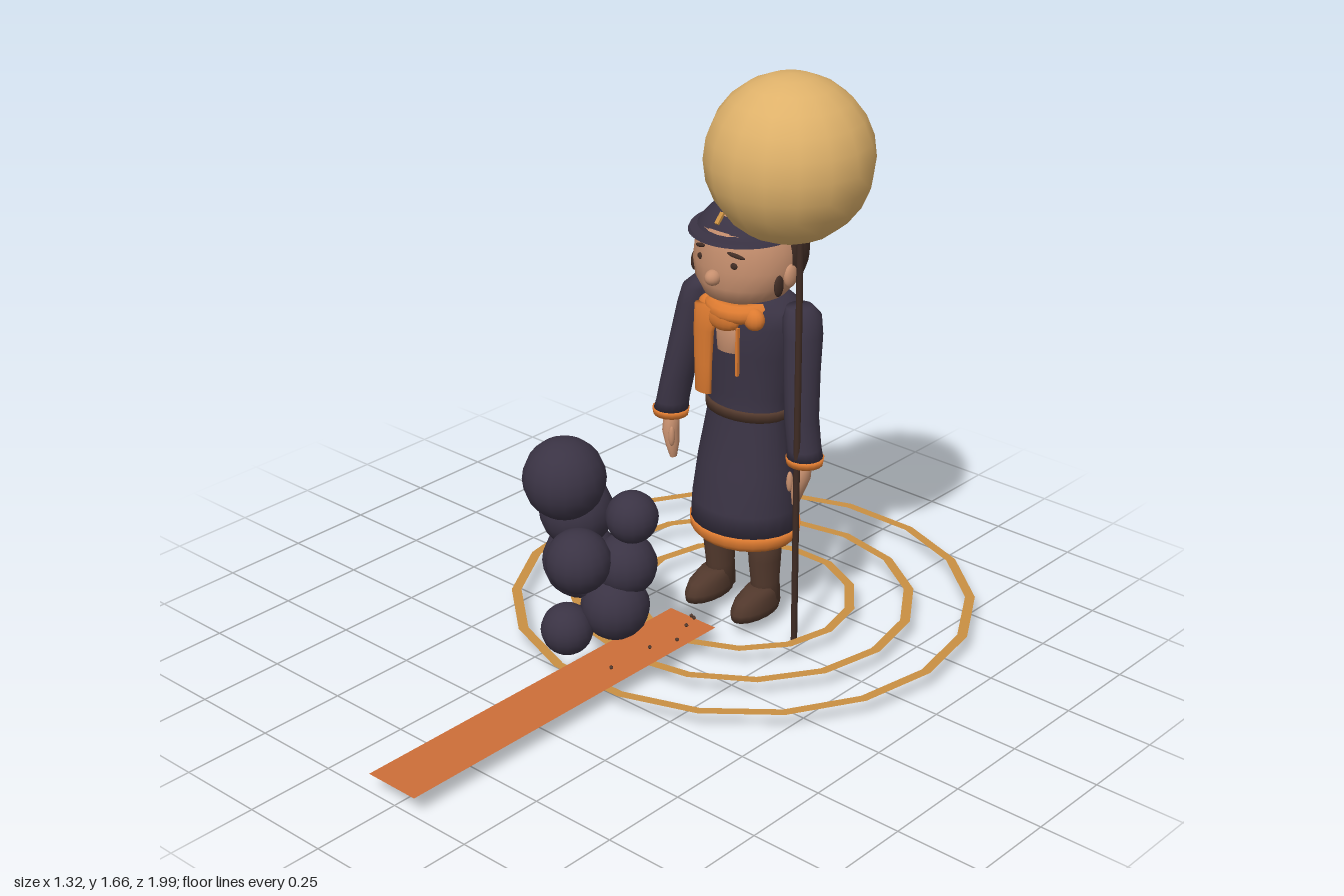
import * as THREE from 'three';

const mat = (name, color, side = THREE.FrontSide) => {
  const m = new THREE.MeshStandardMaterial({ color, side });
  m.name = name;
  return m;
};

// Smooth skin over stacked ellipses, rows run upward: [y, centreX, centreZ, radiusX, radiusZ]
function loft(rows, seg = 20) {
  const pos = [], idx = [];
  const [first, last] = [rows[0], rows[rows.length - 1]];
  const all = [[first[0], first[1], first[2], 0, 0], ...rows, [last[0], last[1], last[2], 0, 0]];
  all.forEach(([y, cx, cz, rx, rz], i) => {
    for (let j = 0; j < seg; j++) {
      const a = (j / seg) * Math.PI * 2;
      pos.push(cx + rx * Math.cos(a), y, cz + rz * Math.sin(a));
      if (i === all.length - 1) continue;
      const p = i * seg + j, q = i * seg + (j + 1) % seg;
      idx.push(p, p + seg, q, q, p + seg, q + seg);
    }
  });
  const g = new THREE.BufferGeometry();
  g.setAttribute('position', new THREE.Float32BufferAttribute(pos, 3));
  g.setIndex(idx);
  g.computeVertexNormals();
  return g;
}

export function createModel() {
  const root = new THREE.Group();
  root.name = 'lanternFigure';
  const cloth = mat('darkCloth', 0x3a3344);
  const skin = mat('skin', 0xc68f6e);
  const orange = mat('scarfOrange', 0xdc7a30, THREE.DoubleSide);
  const path = mat('pathOrange', 0xcc6e38, THREE.DoubleSide);
  const gold = mat('ringGold', 0xc98f42, THREE.DoubleSide);
  const globe = mat('globeYellow', 0xdeb16a);
  const leather = mat('leatherBrown', 0x51382c);
  const hairMat = mat('hairBrown', 0x412d25, THREE.DoubleSide);

  const add = (name, geo, material, x = 0, y = 0, z = 0, parent = root) => {
    const m = new THREE.Mesh(geo, material);
    m.name = name;
    m.position.set(x, y, z);
    parent.add(m);
    return m;
  };
  const ball = (name, material, x, y, z, rx, ry = rx, rz = rx, parent = root) => {
    const m = add(name, new THREE.SphereGeometry(1, 16, 12), material, x, y, z, parent);
    m.scale.set(rx, ry, rz);
    return m;
  };

  // Flat ground rings and path
  [0.325, 0.49, 0.66].forEach((r, i) => {
    add('groundRing' + (i + 1), new THREE.RingGeometry(r - 0.028, r, 14 + i * 2), gold, 0, 0.05, -0.34)
      .rotation.x = -Math.PI / 2;
  });
  add('path', new THREE.PlaneGeometry(0.165, 1.135), path, -0.008, 0.053, 0.4325).rotation.x = -Math.PI / 2;

  // Little pebbles over the path
  [[0.02, 0.065, 0.23], [0.065, 0.1, 0.125], [0.07, 0.08, 0.02], [0.06, 0.1, -0.03], [0.03, 0.095, -0.085], [0, 0.058, -0.13]]
    .forEach(([x, y, z]) => add('pebble', new THREE.OctahedronGeometry(0.007), leather, x, y, z));

  // Globe on a slightly leaning pole
  ball('globe', globe, 0.23, 1.44, -0.225, 0.222);
  const a = new THREE.Vector3(0.225, 0, -0.297), b = new THREE.Vector3(0.27, 1.26, -0.225);
  const pole = add('pole', new THREE.CylinderGeometry(0.009, 0.009, a.distanceTo(b), 8), hairMat);
  pole.position.copy(a).lerp(b, 0.5);
  pole.quaternion.setFromUnitVectors(new THREE.Vector3(0, 1, 0), b.clone().sub(a).normalize());

  // Smoke cluster
  const smoke = new THREE.Group();
  smoke.name = 'smokeCluster';
  root.add(smoke);
  [[-0.05, 0.645, 0.325, 0.11], [-0.1, 0.5, 0.23, 0.1], [0.09, 0.54, 0.22, 0.07], [0.02, 0.437, 0.35, 0.087],
    [-0.115, 0.335, 0.2, 0.105], [0.07, 0.29, 0.265, 0.092], [-0.005, 0.235, 0.37, 0.07], [0.0, 0.37, 0.27, 0.08],
    [0.075, 0.4, 0.23, 0.085]]
    .forEach(([x, y, z, r]) => ball('smokePuff', cloth, x, y, z, r, r, r, smoke));

  // Coat with hem and belt
  add('coat', loft([
    [0.285, 0, -0.345, 0.161, 0.142], [0.36, 0, -0.345, 0.158, 0.137], [0.48, 0, -0.346, 0.145, 0.118],
    [0.62, 0, -0.35, 0.124, 0.092], [0.7, 0, -0.355, 0.128, 0.095], [0.82, 0, -0.362, 0.145, 0.11],
    [0.91, 0, -0.362, 0.165, 0.112], [0.96, 0, -0.362, 0.16, 0.098], [0.985, 0, -0.36, 0.11, 0.08]], 24), cloth);
  add('coatHem', loft([[0.253, 0, -0.345, 0.148, 0.128], [0.27, 0, -0.345, 0.162, 0.142],
    [0.298, 0, -0.345, 0.164, 0.145]], 24), orange);
  add('belt', loft([[0.632, 0, -0.35, 0.129, 0.098], [0.66, 0, -0.352, 0.131, 0.1]], 24), leather);
  add('shirtFront', loft([[0.83, 0, -0.262, 0.035, 0.016], [0.9, 0, -0.262, 0.04, 0.022]]), skin);

  for (const s of [-1, 1]) {
    // Sleeves, cuffs and hands
    add('sleeve', loft([
      [0.57, s * 0.242, -0.303, 0.05, 0.05], [0.6, s * 0.237, -0.305, 0.045, 0.049],
      [0.68, s * 0.222, -0.31, 0.043, 0.052], [0.8, s * 0.203, -0.33, 0.046, 0.056],
      [0.9, s * 0.188, -0.35, 0.048, 0.062], [0.95, s * 0.178, -0.357, 0.047, 0.06],
      [0.975, s * 0.165, -0.36, 0.034, 0.04]], 16), cloth);
    add('cuff', loft([[0.555, s * 0.242, -0.303, 0.05, 0.049], [0.575, s * 0.242, -0.303, 0.053, 0.053]], 16), orange);
    add('hand', loft([[0.43, s * 0.222, -0.292, 0.008, 0.012], [0.47, s * 0.228, -0.294, 0.016, 0.024],
      [0.51, s * 0.238, -0.298, 0.021, 0.029], [0.56, s * 0.24, -0.303, 0.022, 0.024]], 12), skin);
    ball('thumb', skin, s * 0.214, 0.5, -0.275, 0.009, 0.03, 0.01);

    // Boots
    add('bootShaft', loft([[0.06, s * 0.083, -0.34, 0.042, 0.046], [0.13, s * 0.083, -0.338, 0.039, 0.044],
      [0.2, s * 0.083, -0.335, 0.044, 0.05], [0.29, s * 0.083, -0.335, 0.047, 0.052]], 14), leather);
    add('bootFoot', loft([[0.042, s * 0.085, -0.295, 0.044, 0.09], [0.065, s * 0.085, -0.295, 0.048, 0.094],
      [0.095, s * 0.085, -0.3, 0.043, 0.082], [0.118, s * 0.085, -0.318, 0.034, 0.055]], 16), leather);
  }

  // Head and face
  add('neck', new THREE.CylinderGeometry(0.065, 0.075, 0.1, 16), skin, 0, 0.97, -0.345);
  add('head', loft([
    [0.972, 0, -0.335, 0.07, 0.08], [0.99, 0, -0.335, 0.11, 0.118], [1.03, 0, -0.34, 0.143, 0.138],
    [1.08, 0, -0.345, 0.155, 0.146], [1.13, 0, -0.35, 0.151, 0.147], [1.18, 0, -0.352, 0.136, 0.138],
    [1.22, 0, -0.355, 0.1, 0.105], [1.24, 0, -0.355, 0.05, 0.05]], 24), skin);
  ball('nose', skin, 0, 1.06, -0.198, 0.022, 0.022, 0.025);
  for (const s of [-1, 1]) {
    ball('ear', skin, s * 0.152, 1.065, -0.335, 0.014, 0.033, 0.024);
    ball('sideburn', hairMat, s * 0.146, 1.045, -0.295, 0.008, 0.03, 0.018);
    ball('eye', hairMat, s * 0.056, 1.102, -0.215, 0.013, 0.01, 0.006);
    const brow = ball('brow', hairMat, s * 0.062, 1.131, -0.218, 0.026, 0.006, 0.007);
    brow.rotation.set(0, s * 0.4, -s * 0.25);
  }

  // Hair round the back, cap, visor and badge
  const shell = (name, m, y, z, r, args) => {
    const mesh = add(name, new THREE.SphereGeometry(1, 24, 12, ...args), m, 0, y, z);
    mesh.scale.set(...r);
  };
  shell('hair', hairMat, 1.105, -0.355, [0.159, 0.145, 0.153], [Math.PI * 0.96, Math.PI * 1.08, Math.PI * 0.2, Math.PI * 0.44]);
  const capCloth = mat('capCloth', 0x3a3344, THREE.DoubleSide);
  shell('cap', capCloth, 1.105, -0.352, [0.164, 0.15, 0.158], [0, Math.PI * 2, 0, Math.PI * 0.36]);
  const visor = add('visor', new THREE.CylinderGeometry(0.15, 0.155, 0.009, 20, 1, false, -Math.PI / 2, Math.PI), capCloth, 0, 1.17, -0.33);
  visor.rotation.x = 0.04;
  const patch = add('capCrown', new THREE.CylinderGeometry(0.05, 0.058, 0.008, 9), skin, -0.025, 1.253, -0.352);
  patch.rotation.z = 0.06;
  add('capBadge', new THREE.BoxGeometry(0.012, 0.035, 0.008), gold, -0.008, 1.215, -0.232).rotation.x = -0.75;

  // Scarf: collar roll, knot and hanging tail
  const collar = add('scarfCollar', new THREE.TorusGeometry(0.083, 0.028, 10, 24), orange, 0, 0.955, -0.338);
  collar.rotation.x = Math.PI / 2 + 0.12;
  collar.scale.set(1.05, 1.05, 1);
  ball('scarfKnot', orange, -0.01, 0.93, -0.25, 0.06, 0.04, 0.025);
  add('scarfTail', loft([[0.69, -0.075, -0.249, 0.028, 0.012], [0.78, -0.073, -0.245, 0.03, 0.014],
    [0.88, -0.07, -0.243, 0.034, 0.017], [0.95, -0.06, -0.25, 0.045, 0.025]], 12), orange);
  add('scarfEdge', new THREE.BoxGeometry(0.008, 0.14, 0.009), orange, 0.043, 0.84, -0.251);
  for (const s of [-1, 1]) ball('scarfFold', orange, s * 0.08, 0.938, -0.275, 0.032, 0.032, 0.026);

  return root;
}
